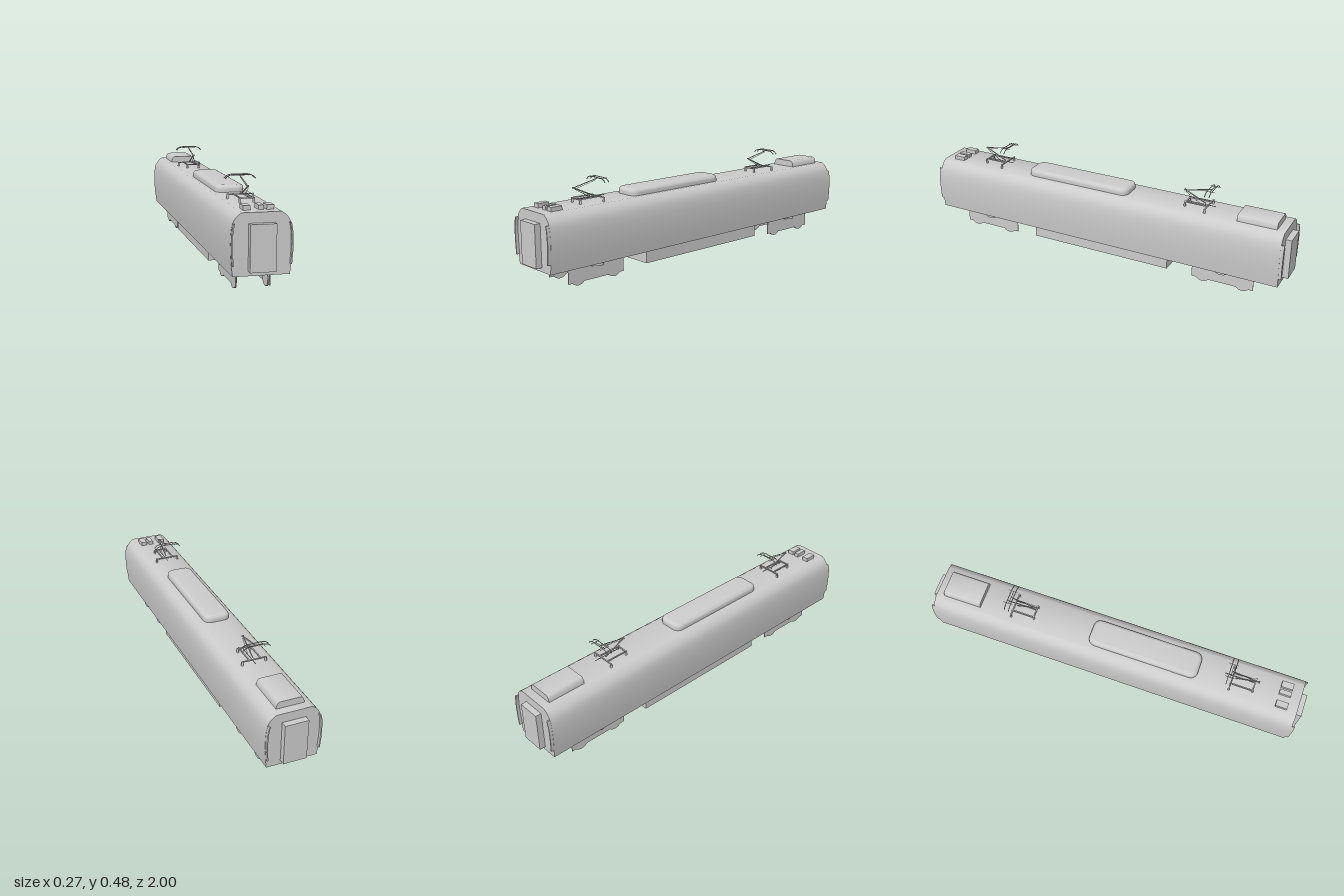
import * as THREE from 'three';
import { toCreasedNormals } from 'three/addons/utils/BufferGeometryUtils.js';

const mat = new THREE.MeshStandardMaterial({ color: 0xcccccc });
const V = (x, y, z) => new THREE.Vector3(x, y, z);

function add(parent, name, geometry, x = 0, y = 0, z = 0) {
  const mesh = new THREE.Mesh(geometry, mat);
  mesh.name = name;
  mesh.position.set(x, y, z);
  parent.add(mesh);
  return mesh;
}

// Box given by its limits on each axis
function box(parent, name, [x0, x1], [y0, y1], [z0, z1]) {
  return add(parent, name, new THREE.BoxGeometry(x1 - x0, y1 - y0, z1 - z0),
    (x0 + x1) / 2, (y0 + y1) / 2, (z0 + z1) / 2);
}

// Straight round bar between two points
function bar(parent, name, a, b, r = 0.002) {
  const dir = b.clone().sub(a);
  const mesh = add(parent, name, new THREE.CylinderGeometry(r, r, dir.length(), 8));
  mesh.position.copy(a).add(b).multiplyScalar(0.5);
  mesh.quaternion.setFromUnitVectors(V(0, 1, 0), dir.normalize());
  return mesh;
}

// Closed outline in x, y extruded from z0 to z1, soft across shallow angles
function extrudeZ(points, z0, z1) {
  const shape = new THREE.Shape(points.map(([x, y]) => new THREE.Vector2(x, y)));
  const g = new THREE.ExtrudeGeometry(shape, { depth: z1 - z0, bevelEnabled: false });
  g.translate(0, 0, z0);
  return toCreasedNormals(g, 0.7);
}

const mirrored = half => [...half, ...half.map(([x, y]) => [-x, y]).reverse()];

// Half of the body section, bottom to top
const side = [[0.126, 0.098], [0.131, 0.145], [0.135, 0.195], [0.136, 0.24], [0.135, 0.275],
  [0.132, 0.302], [0.127, 0.325], [0.12, 0.34], [0.109, 0.354], [0.098, 0.363], [0.087, 0.37]];

function addEnd(parent, s) {
  const end = new THREE.Group();
  end.name = s > 0 ? 'frontEnd' : 'backEnd';
  // Gangway connection
  box(end, 'gangway', [-0.058, 0.058], [0.118, 0.324], [0.965, 1]);
  // Narrow strips along both edges of the end wall
  const edge = side.slice(1, 7);
  const outline = [...edge.map(([x, y]) => [x - 0.001, y]),
    ...edge.map(([x, y]) => [x - 0.007, y]).reverse()];
  for (const m of [1, -1]) {
    const pts = m > 0 ? outline : outline.map(([x, y]) => [-x, y]).reverse();
    add(end, 'edgeStrip', extrudeZ(pts, 0.965, 0.985));
  }
  if (s < 0) end.rotation.y = Math.PI;
  parent.add(end);
}

function addBogie(parent, name, z) {
  const bogie = new THREE.Group();
  bogie.name = name;
  bogie.position.z = z;
  for (const s of [1, -1]) {
    const plate = [0.075 * s, 0.079 * s].sort((a, b) => a - b);
    box(bogie, 'sideFrame', plate, [0.015, 0.099], [-0.162, 0.162]);
    for (const dz of [-0.105, 0.105]) {
      const wheel = new THREE.CylinderGeometry(0.045, 0.045, 0.008, 32);
      wheel.rotateZ(Math.PI / 2);
      add(bogie, 'wheel', wheel, 0.0742 * s, 0.045, dz);
    }
    add(bogie, 'airSpring', new THREE.CylinderGeometry(0.036, 0.036, 0.014, 32), 0.079 * s, 0.089, 0);
  }
  parent.add(bogie);
}

// Roof fairing: rounded plan with a rounded shoulder all round
function fairingGeometry(w, l, r, h) {
  const s = new THREE.Shape();
  s.moveTo(-w + r, -l);
  s.lineTo(w - r, -l);
  s.quadraticCurveTo(w, -l, w, -l + r);
  s.lineTo(w, l - r);
  s.quadraticCurveTo(w, l, w - r, l);
  s.lineTo(-w + r, l);
  s.quadraticCurveTo(-w, l, -w, l - r);
  s.lineTo(-w, -l + r);
  s.quadraticCurveTo(-w, -l, -w + r, -l);
  const g = new THREE.ExtrudeGeometry(s, {
    depth: h, bevelThickness: 0.02, bevelSize: 0.02, bevelSegments: 5, curveSegments: 6,
  });
  g.rotateX(-Math.PI / 2);
  return toCreasedNormals(g, 0.7);
}

function addPantograph(parent, name, z) {
  const p = new THREE.Group();
  p.name = name;
  p.position.z = z;
  // Base frame on insulators
  for (const x of [-0.033, 0.025]) {
    box(p, 'baseRail', [x - 0.003, x + 0.003], [0.388, 0.394], [-0.05, 0.075]);
  }
  for (const dz of [-0.045, 0.07]) {
    const w = dz < 0 ? 0.064 : 0.036;
    box(p, 'baseCrossbar', [-w, w], [0.387, 0.392], [dz - 0.003, dz + 0.003]);
    for (const s of [1, -1]) {
      add(p, 'insulator', new THREE.CylinderGeometry(0.005, 0.006, 0.022, 10), s * (w - 0.004), 0.379, dz);
    }
  }
  bar(p, 'baseTie', V(0.01, 0.391, -0.085), V(0.01, 0.391, 0.07));
  // Folding arm
  const knee = V(0, 0.445, 0.085);
  bar(p, 'lowerArm', V(0, 0.392, -0.03), knee, 0.003);
  bar(p, 'controlRod', V(0.01, 0.392, 0.0), V(0.004, 0.438, 0.08), 0.0012);
  bar(p, 'kneeJoint', V(-0.005, 0.445, 0.085), V(0.005, 0.445, 0.085), 0.004);
  bar(p, 'upperArm', knee, V(0, 0.474, -0.058), 0.0022);
  bar(p, 'guideRod', V(0, 0.437, 0.078), V(0, 0.467, -0.05), 0.001);
  // Collector head with two arched strips
  for (const dz of [-0.045, -0.068]) {
    const path = new THREE.CatmullRomCurve3([V(-0.071, 0.46, dz), V(-0.062, 0.47, dz),
      V(-0.045, 0.477, dz), V(0, 0.478, dz), V(0.045, 0.477, dz), V(0.062, 0.47, dz), V(0.071, 0.46, dz)]);
    add(p, 'contactStrip', new THREE.TubeGeometry(path, 24, 0.0022, 6));
  }
  for (const x of [-0.035, 0.035]) {
    bar(p, 'headLink', V(x, 0.476, -0.085), V(x, 0.476, -0.035), 0.0015);
  }
  bar(p, 'headAxle', V(-0.035, 0.474, -0.057), V(0.035, 0.474, -0.057), 0.0015);
  parent.add(p);
}

export function createModel() {
  const model = new THREE.Group();
  model.name = 'railcar';

  add(model, 'body', extrudeZ(mirrored(side), -0.97, 0.97));
  addEnd(model, 1);
  addEnd(model, -1);

  // Underside
  box(model, 'equipmentBox', [-0.098, 0.098], [0.031, 0.1], [-0.385, 0.391]);
  addBogie(model, 'frontBogie', 0.681);
  addBogie(model, 'backBogie', -0.676);

  // Roof equipment
  add(model, 'roofFairing', fairingGeometry(0.049, 0.27, 0.02, 0.03), 0, 0.354, 0.153);
  const hood = [[0.069, 0.365], [0.068, 0.38], [0.065, 0.39], [0.06, 0.399], [0.052, 0.403]];
  add(model, 'roofHood', extrudeZ(mirrored(hood), -0.928, -0.727));
  for (const [x0, x1] of [[-0.068, -0.036], [0, 0.023], [0.036, 0.069]]) {
    box(model, 'roofBox', [x0, x1], [0.365, 0.39], [0.857, 0.917]);
  }
  addPantograph(model, 'frontPantograph', 0.66);
  addPantograph(model, 'backPantograph', -0.513);

  return model;
}
